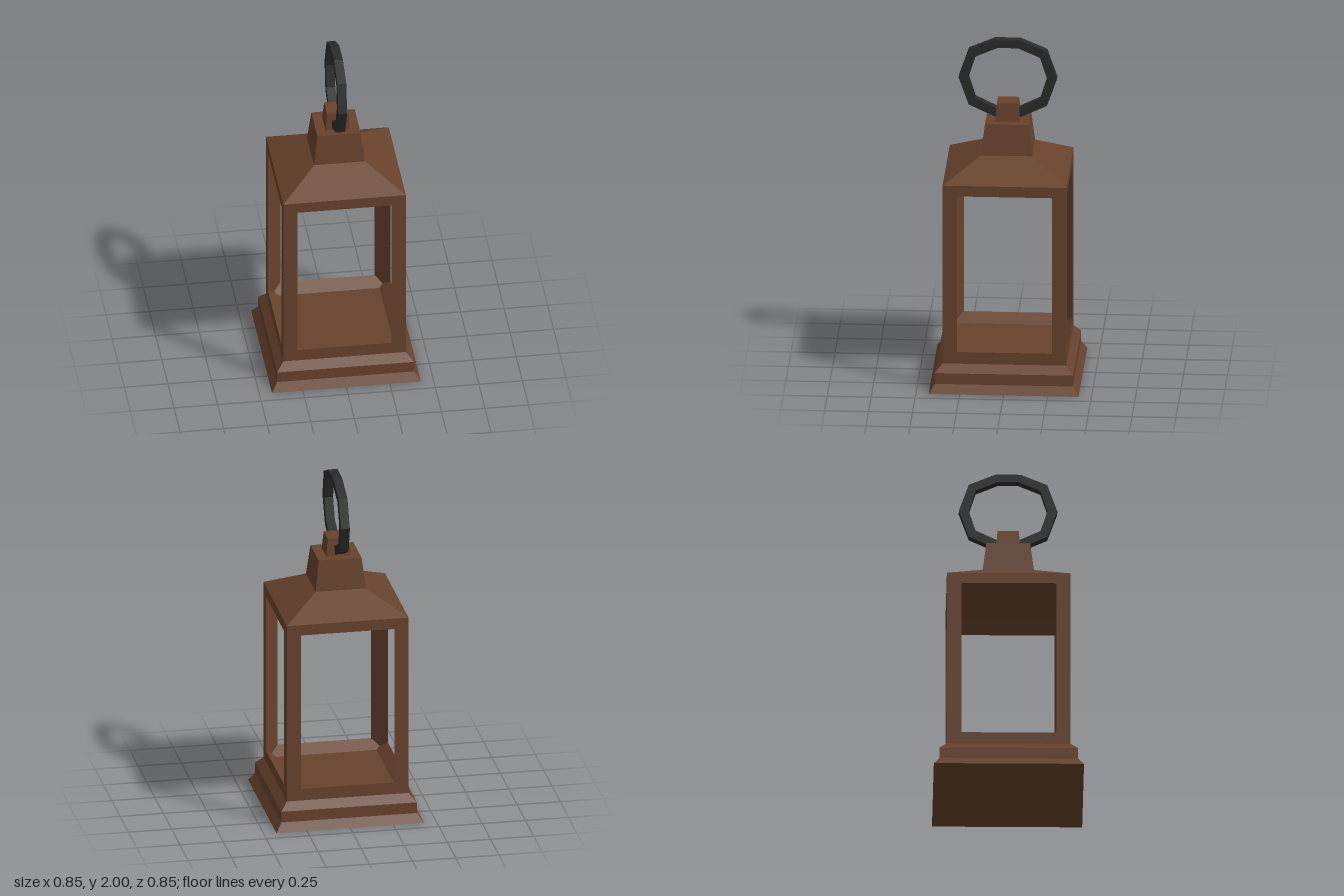
import * as THREE from 'three';

const copper = new THREE.MeshStandardMaterial({ color: 0x67422c, flatShading: true });
copper.name = 'brown metal';
const iron = new THREE.MeshStandardMaterial({ color: 0x2b2b2b, flatShading: true });
iron.name = 'dark iron';

// Square-plan solid from [half width, height] pairs, listed bottom to top
function squareLoft(name, profile) {
  const points = profile.map(([half, y]) => new THREE.Vector2(half * Math.SQRT2, y));
  const geometry = new THREE.LatheGeometry(points, 4, Math.PI / 4).toNonIndexed();
  geometry.computeVertexNormals();
  const mesh = new THREE.Mesh(geometry, copper);
  mesh.name = name;
  return mesh;
}

// Closed outline from its right half, mirrored to the left
function mirrored(half) {
  return [...half, ...half.slice().reverse().map(([x, y]) => [-x, y])]
    .map(([x, y]) => new THREE.Vector2(x, y));
}

export function createModel() {
  const lantern = new THREE.Group();
  lantern.name = 'lantern';

  // Stepped base whose rim slopes in to a recessed floor
  lantern.add(squareLoft('base', [
    [0, 0], [0.427, 0], [0.393, 0.05], [0.393, 0.115], [0.352, 0.16],
    [0.352, 0.23], [0.29, 0.18], [0, 0.18],
  ]));

  // Three-sided corner posts, flat across the inner side
  const corner = new THREE.Shape([[0.352, 0.352], [0.27, 0.352], [0.352, 0.27]]
    .map(([x, y]) => new THREE.Vector2(x, y)));
  const postGeometry = new THREE.ExtrudeGeometry(corner, { depth: 1.045, bevelEnabled: false });
  postGeometry.rotateX(-Math.PI / 2).translate(0, 0.18, 0);
  for (let i = 0; i < 4; i++) {
    const post = new THREE.Mesh(postGeometry, copper);
    post.rotation.y = i * Math.PI / 2;
    post.name = 'cornerPost';
    lantern.add(post);
  }

  // Roof with recessed ceiling and chimney
  lantern.add(squareLoft('roof', [
    [0, 1.23], [0.275, 1.23], [0.352, 1.167], [0.352, 1.23],
    [0.146, 1.345], [0.124, 1.525], [0, 1.525],
  ]));

  // Knob that holds the ring
  lantern.add(squareLoft('knob', [[0, 1.52], [0.07, 1.52], [0.06, 1.63], [0, 1.63]]));

  // Ten-sided carrying ring, leaning slightly
  const shape = new THREE.Shape(mirrored(
    [[0.07, -0.235], [0.223, -0.163], [0.28, 0], [0.223, 0.165], [0.072, 0.23]]));
  shape.holes.push(new THREE.Path(mirrored(
    [[0.06, -0.186], [0.185, -0.125], [0.224, 0], [0.184, 0.128], [0.058, 0.183]])));
  const ringGeometry = new THREE.ExtrudeGeometry(shape, { depth: 0.051, bevelEnabled: false });
  ringGeometry.translate(0, 0, -0.0255).rotateY(Math.PI / 2);
  const ring = new THREE.Mesh(ringGeometry, iron);
  ring.position.set(-0.001, 1.77, 0);
  ring.rotation.z = -0.022;
  ring.name = 'carryingRing';
  lantern.add(ring);

  return lantern;
}
